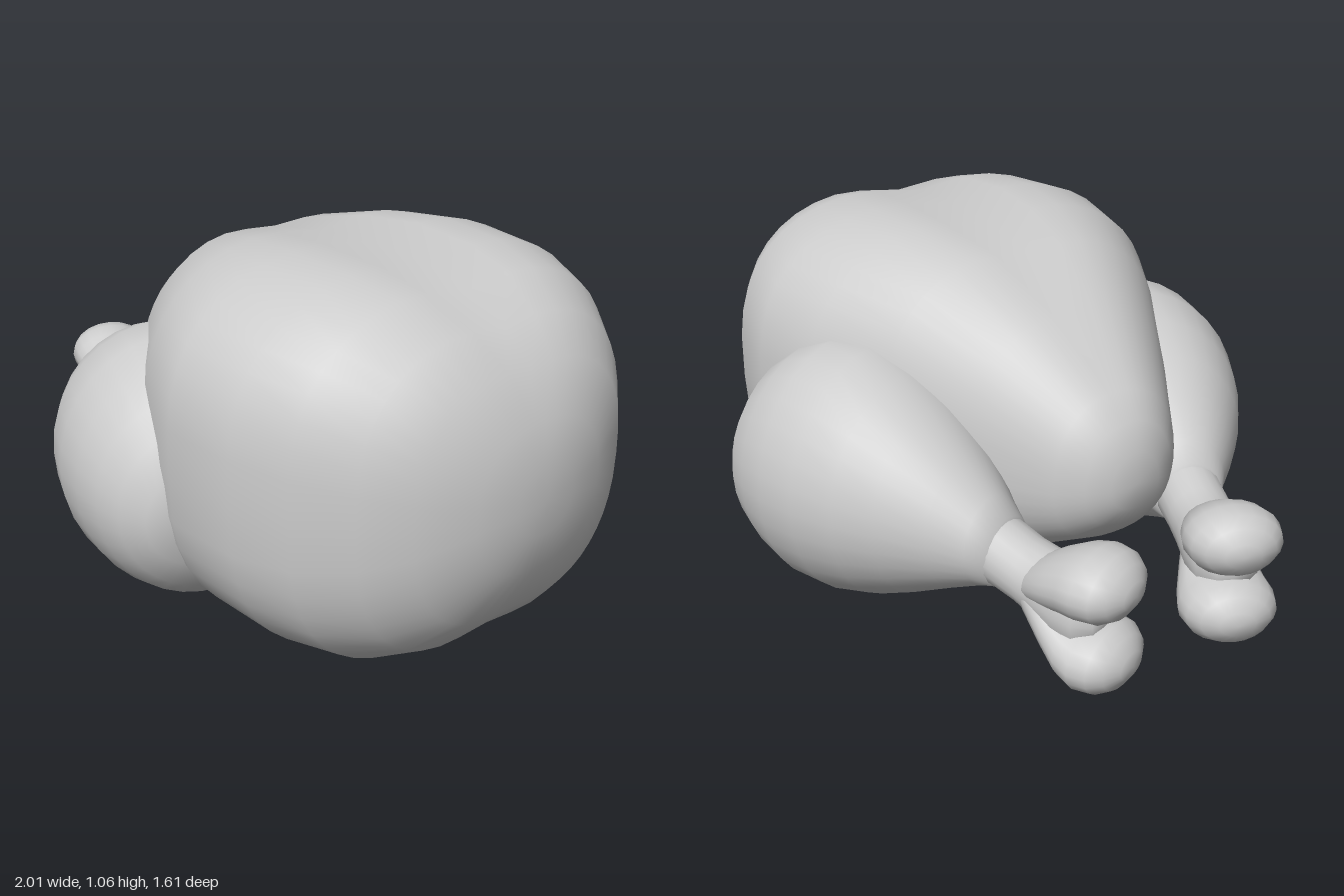
import * as THREE from 'three';
import { mergeVertices } from 'three/addons/utils/BufferGeometryUtils.js';

const material = new THREE.MeshStandardMaterial({ color: 0xcccccc });

// Skin closed rings along increasing x; each section is
// { x, w, bottom, top, z, n, groove, taper }
function loft(sections, segments) {
  const pos = [], index = [];
  const power = (t, n) => Math.sign(t) * Math.pow(Math.abs(t), 2 / n);
  sections.forEach(({ x, w, bottom, top, z = 0, n = 2, groove = 0, taper = 0 }, i) => {
    const cy = (top + bottom) / 2, h = (top - bottom) / 2;
    for (let j = 0; j < segments; j++) {
      const a = (j / segments) * Math.PI * 2;
      const dz = w * power(Math.cos(a), n) * (1 - taper * Math.sin(a));
      // lengthwise crease along the middle of the top and bottom
      const dent = 1 - groove * Math.exp(-((dz / 0.15) ** 2));
      pos.push(x, cy + h * power(Math.sin(a), n) * dent, z + dz);
      if (i === sections.length - 1) continue;
      const k = (j + 1) % segments;
      const p = i * segments + j, q = i * segments + k;
      index.push(p, p + segments, q, p + segments, q + segments, q);
    }
  });
  let geometry = new THREE.BufferGeometry();
  geometry.setAttribute('position', new THREE.Float32BufferAttribute(pos, 3));
  geometry.setIndex(index);
  geometry = mergeVertices(geometry, 1e-5);
  geometry.computeVertexNormals();
  return geometry;
}

function addMesh(parent, name, geometry) {
  const mesh = new THREE.Mesh(geometry, material);
  mesh.name = name;
  parent.add(mesh);
  return mesh;
}

// Plump body: narrow at the tail, broad and squarish at the breast
function makeBody() {
  const rows = [ // x, half width, bottom, top
    [-0.84, 0, 0.49, 0.49], [-0.83, 0.08, 0.41, 0.58], [-0.8, 0.145, 0.35, 0.66],
    [-0.74, 0.205, 0.285, 0.73], [-0.53, 0.345, 0.165, 0.895], [-0.3, 0.49, 0.065, 1.02],
    [-0.08, 0.615, 0.015, 1.063], [0.13, 0.672, -0.01, 1.077], [0.35, 0.645, -0.018, 1.065],
    [0.5, 0.575, -0.005, 1.03], [0.63, 0.475, 0.065, 0.96], [0.72, 0.37, 0.17, 0.87],
    [0.78, 0.22, 0.32, 0.74], [0.8, 0.1, 0.43, 0.63], [0.805, 0, 0.53, 0.53],
  ];
  return loft(rows.map(([x, w, bottom, top]) => {
    const fullness = Math.min(1, w / 0.6);
    const taper = x < 0 ? 0.15 * (1 - fullness) : -0.03 * fullness;
    return { x, w, bottom, top, n: 2 + 0.75 * fullness, groove: 0.07 * fullness, taper };
  }), 44);
}

// Drumstick running along x, its bone end at negative x; side = +1 or -1 is outward z
function makeLeg(name, side) {
  const leg = new THREE.Group();
  leg.name = name;

  const thigh = [ // x, radius, centre height
    [0, 0, 0.36], [0.005, 0.1, 0.36], [0.06, 0.13, 0.375], [0.15, 0.19, 0.395],
    [0.28, 0.27, 0.41], [0.4, 0.33, 0.415], [0.53, 0.375, 0.418], [0.66, 0.383, 0.413],
    [0.77, 0.352, 0.405], [0.86, 0.3, 0.395], [0.92, 0.23, 0.385], [0.965, 0.13, 0.38],
    [0.98, 0, 0.38],
  ];
  addMesh(leg, 'thigh', loft(thigh.map(([x, r, y]) => (
    { x, w: r * 0.92, bottom: y - r, top: y + r, z: -side * r * 0.3 * x }
  )), 32));

  const shank = [ // x, half width, half height, centre height
    [-0.335, 0, 0, 0.3], [-0.325, 0.05, 0.05, 0.3], [-0.28, 0.09, 0.11, 0.303],
    [-0.22, 0.1, 0.12, 0.312], [-0.14, 0.094, 0.098, 0.325], [-0.08, 0.093, 0.09, 0.338],
    [0, 0.094, 0.095, 0.355], [0.08, 0.1, 0.1, 0.37], [0.1, 0, 0, 0.37],
  ];
  addMesh(leg, 'shankBone', loft(shank.map(([x, w, h, y]) => (
    { x, w, bottom: y - h, top: y + h, z: side * Math.max(0, -x) * 0.1 }
  )), 20));

  // The bone forks into two rounded knuckles that blend back into the shank
  const knuckle = [ // x, half height, half width
    [-0.415, 0, 0], [-0.408, 0.035, 0.05], [-0.385, 0.07, 0.095], [-0.35, 0.09, 0.125],
    [-0.3, 0.095, 0.135], [-0.25, 0.09, 0.125], [-0.19, 0.08, 0.105], [-0.12, 0.062, 0.08],
    [-0.05, 0, 0],
  ];
  [[0.4, 'upperKnuckle'], [0.193, 'lowerKnuckle']].forEach(([height, part]) => {
    addMesh(leg, part, loft(knuckle.map(([x, h, w]) => {
      const y = THREE.MathUtils.lerp(0.33, height, THREE.MathUtils.smoothstep(-x, 0.05, 0.3));
      return { x, w, bottom: y - h, top: y + h, z: side * 0.025 };
    }), 20));
  });
  return leg;
}

export function createModel() {
  const model = new THREE.Group();
  model.name = 'roastBird';

  const body = addMesh(model, 'body', makeBody());
  body.position.set(0.2, 0, 0.07);
  body.rotation.y = -0.22;

  const frontLeg = makeLeg('frontLeg', 1);
  frontLeg.position.set(-0.62, 0, 0.13);
  frontLeg.rotation.y = -0.64;

  const backLeg = makeLeg('backLeg', -1);
  backLeg.position.set(-0.462, -0.01, -0.445);
  backLeg.rotation.y = 0.13;

  model.add(frontLeg, backLeg);
  return model;
}
